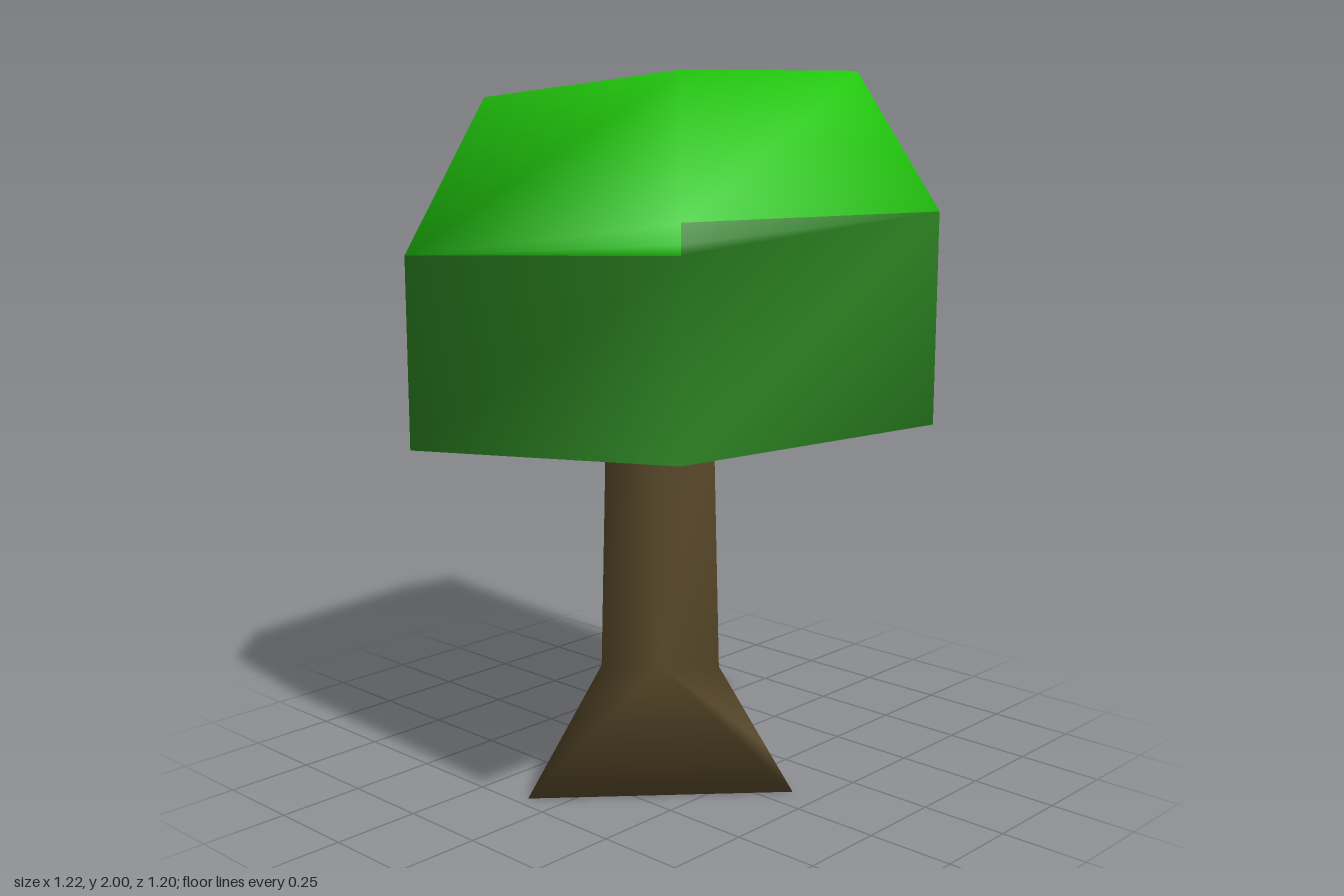
import * as THREE from 'three';

const flat = (name, color) => {
  const m = new THREE.MeshStandardMaterial({ color, side: THREE.DoubleSide });
  m.name = name;
  return m;
};

const lerp = (a, b, t) => a.map((v, i) => v + (b[i] - v) * t);

// Smooth mesh from corner points; each face list becomes one colour group.
function facetMesh(name, points, faceLists, materials) {
  const geo = new THREE.BufferGeometry();
  geo.setAttribute('position', new THREE.Float32BufferAttribute(points.flat(), 3));
  const index = [];
  faceLists.forEach((faces, g) => {
    const start = index.length;
    for (const [a, b, c, d] of faces) {
      index.push(a, b, c);
      if (d !== undefined) index.push(a, c, d);
    }
    geo.addGroup(start, index.length - start, g);
  });
  geo.setIndex(index);
  geo.computeVertexNormals();
  const mesh = new THREE.Mesh(geo, materials);
  mesh.name = name;
  return mesh;
}

// Side quads between two four-point rings
const ringWalls = (lo, hi) =>
  [0, 1, 2, 3].map((i) => [lo + i, lo + ((i + 1) % 4), hi + ((i + 1) % 4), hi + i]);

export function createModel() {
  const leaf = flat('bright leaf green', 0x21c80d);
  const band = flat('deep leaf green', 0x2c8422);
  const bark = flat('bark brown', 0x5b4b2b);
  const stone = flat('grey bark', 0x6d6254);
  const tree = new THREE.Group();
  tree.name = 'tree';

  // Canopy: open-bottomed crooked box with a chamfered crown.
  // Corners run front left, front right, back right, back left.
  const plan = [[-0.495, 0.53], [0.61, 0.6], [0.565, -0.5], [-0.61, -0.6]];
  const ring = (heights) => plan.map(([x, z], i) => [x, heights[i], z]);
  const rim = ring([0.95, 1.085, 1.02, 1.085]);
  const shoulder = ring([1.5, 1.605, 1.62, 1.61]);
  const crown = [[-0.32, 1.93, 0.38], [0.4, 2, 0.37], [0.4, 2, -0.33], [-0.33, 2, -0.34]];
  // Points where the colour border leaves the shoulder
  const colourSplits = [
    [-0.61, 1.34, -0.6], lerp(shoulder[1], crown[1], 0.12), [0.61, 1.58, 0.6],
  ];
  tree.add(facetMesh(
    'canopy',
    [...rim, ...shoulder, ...crown, ...colourSplits],
    [
      [ // lower band
        [0, 1, 14, 4], [1, 2, 6, 14], [14, 6, 5], [5, 6, 13], [2, 3, 7, 6], [3, 0, 4, 12],
      ],
      [ // sloping sides and top
        [4, 14, 5], [4, 5, 13], [4, 13, 9, 8], [13, 6, 10, 9], [6, 7, 11, 10],
        [12, 4, 7], [7, 4, 8, 11], [8, 9, 10, 11],
      ],
    ],
    [band, leaf],
  ));

  // Trunk: three-cornered column with an extra ridge along the front face,
  // flaring to a three-cornered foot. Rings run front, ridge, side, back.
  const foot = [[-0.095, 0, 0.465], [0.415, 0, -0.08], [-0.22, 0, -0.28]];
  const neck = [[0.03, 0.38, 0.295], [0.155, 0.38, 0.19], [0.275, 0.38, 0.08], [-0.08, 0.38, -0.115]];
  const top = [[0.03, 1.11, 0.27], [0.145, 1.11, 0.185], [0.25, 1.11, 0.08], [-0.06, 1.11, -0.09]];
  // Outline of the grey patch on the back of the flare
  const patchEdge = lerp(foot[1], neck[2], 0.38);
  const patchRight = lerp(foot[2], neck[3], 0.87);
  const patchLeft = lerp(lerp(foot[1], neck[2], 0.87), patchRight, 0.18);
  tree.add(facetMesh(
    'trunk',
    [...foot, ...neck, ...top, patchEdge, patchLeft, patchRight],
    [
      [
        ...ringWalls(3, 7),
        [0, 4, 3], [0, 1, 4], [1, 11, 4], [11, 5, 4], [2, 0, 3, 6], // flare
        [11, 12, 5], [12, 13, 6, 5], // above the grey patch
        [0, 2, 1], // underside
      ],
      [[1, 2, 13], [1, 13, 12, 11]], // grey patch
    ],
    [bark, stone],
  ));

  return tree;
}
